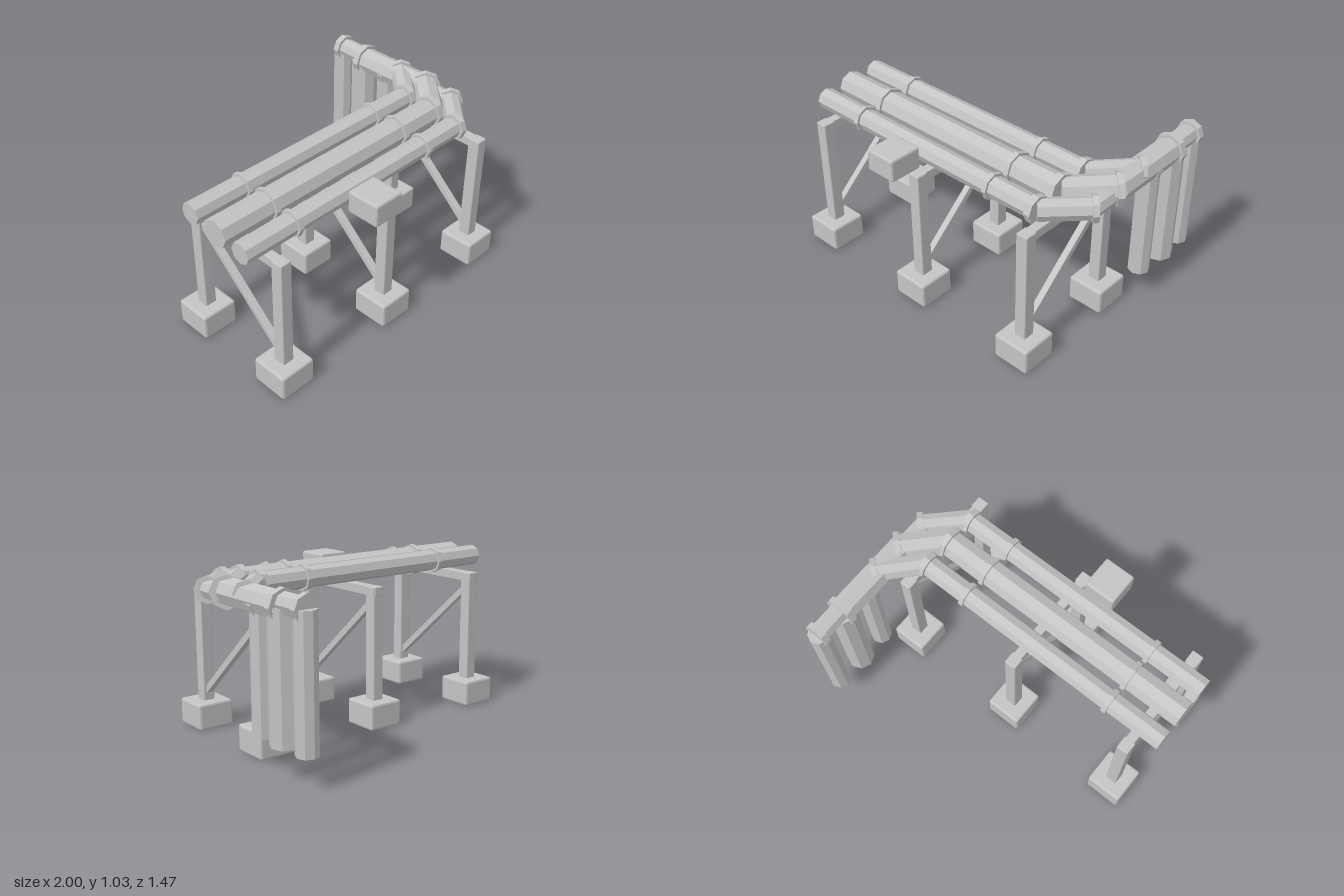
import * as THREE from 'three';
import { RoundedBoxGeometry } from 'three/addons/geometries/RoundedBoxGeometry.js';

export function createModel() {
  const group = new THREE.Group();
  const steel = new THREE.MeshStandardMaterial({ color: 0xc4c4c4 });
  steel.name = 'grey steel';
  steel.flatShading = true;

  const add = (name, geometry, parent = group) => {
    const mesh = new THREE.Mesh(geometry, steel);
    mesh.name = name;
    parent.add(mesh);
    return mesh;
  };
  // Box with chamfered edges
  const block = (name, w, h, d, x, y, z, bevel, parent) => {
    const mesh = add(name, new RoundedBoxGeometry(w, h, d, 1, bevel), parent);
    mesh.position.set(x, y, z);
    return mesh;
  };
  // Eight-sided tube between two points
  const up = new THREE.Vector3(0, 1, 0);
  const tube = (name, a, b, r, parent) => {
    const dir = b.clone().sub(a);
    const mesh = add(name, new THREE.CylinderGeometry(r, r, dir.length(), 8), parent);
    mesh.position.copy(a).lerp(b, 0.5);
    mesh.quaternion.setFromUnitVectors(up, dir.normalize());
    return mesh;
  };
  const flange = (name, p, dir, r, width, parent) => {
    const half = dir.clone().normalize().multiplyScalar(width / 2);
    tube(name, p.clone().sub(half), p.clone().add(half), r, parent);
  };

  // Support frames: two footings, two posts, a cross beam and a brace
  for (const x of [-0.85, -0.05, 0.745]) {
    const frame = new THREE.Group();
    frame.name = 'supportFrame';
    frame.position.x = x;
    group.add(frame);
    for (const z of [0.59, -0.067]) {
      block('footing', 0.23, 0.16, 0.23, 0, 0.08, z, 0.013, frame);
      block('post', 0.074, 0.72, 0.076, 0, 0.5, z, 0.006, frame);
    }
    block('crossBeam', 0.058, 0.06, 0.735, 0, 0.83, 0.26, 0.005, frame);
    const brace = block('brace', 0.04, 0.04, 0.8, 0, 0.487, 0.262, 0.003, frame);
    brace.rotation.x = Math.atan2(0.52, 0.585);
  }

  // Pipes: long run, diagonal bend, rear run, drop to the ground
  const runs = [
    { name: 'frontPipe', z: 0.45, y: 0.908, r: 0.065, bend: 0.24, drop: -0.27 },
    { name: 'middlePipe', z: 0.255, y: 0.926, r: 0.085, bend: 0.035, drop: -0.47 },
    { name: 'backPipe', z: 0.057, y: 0.945, r: 0.065, bend: -0.17, drop: -0.665 },
  ];
  const cx = 0.895;
  for (const { name, z, y, r, bend, drop } of runs) {
    const pipe = new THREE.Group();
    pipe.name = name;
    group.add(pipe);
    const V = (px, pz, py = y) => new THREE.Vector3(px, py, pz);
    const corner = V(0.7, z), turn = V(0.91, bend);
    const diagonal = turn.clone().sub(corner);
    const along = V(1, 0, 0), back = V(0, -1, 0);

    tube('longRun', V(-1, z), corner, r, pipe);
    tube('bend', corner.clone().addScaledVector(diagonal, -0.02), turn, r, pipe);
    tube('rearRun', V(cx, bend + 0.01), V(cx, drop - 0.015), r - 0.003, pipe);
    tube('drop', V(cx, drop, 0.18), V(cx, drop), r, pipe);

    for (const x of [-0.64, 0.385]) flange('flange', V(x, z), along, r + 0.015, 0.03, pipe);
    flange('bendFlange', V(0.69, z), along, r + 0.017, 0.042, pipe);
    flange('bendFlange', turn, diagonal, r + 0.015, 0.035, pipe);
    flange('dropFlange', V(cx, drop), back, r + 0.015, 0.04, pipe);
  }

  // Box mounted on the front pipe
  block('controlBox', 0.2, 0.14, 0.21, -0.2, 0.908, 0.63, 0.012);

  return group;
}
